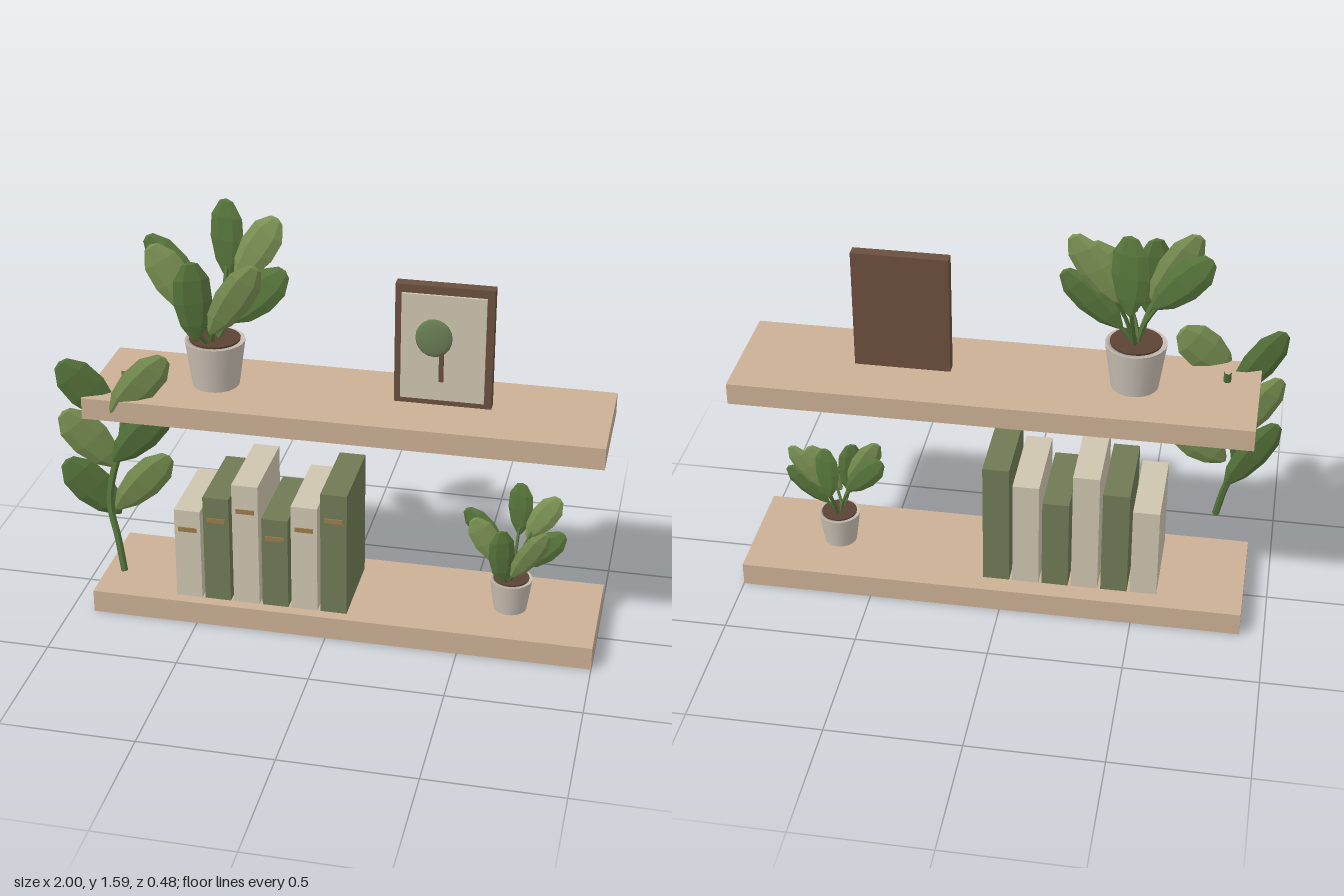
import * as THREE from 'three';

const mat = (color, flatShading = false) => new THREE.MeshStandardMaterial({ color, flatShading });
const WOOD = mat(0xcbb094), CREAM = mat(0xcec5b0), SAGE = mat(0x6f7a55), GOLD = mat(0x9a7c4a);
const BROWN = mat(0x6b4f3e), SOIL = mat(0x5c4334), CLAY = mat(0xc9c0b3);
const DARK = mat(0x58763c, true), LIGHT = mat(0x7c9354, true), STEM = mat(0x55733c, true), CROWN = mat(0x6a7f55);
const V = (a) => new THREE.Vector3(...a);

function add(parent, name, geometry, material, x = 0, y = 0, z = 0) {
  const mesh = new THREE.Mesh(geometry, material);
  mesh.name = name;
  mesh.position.set(x, y, z);
  parent.add(mesh);
  return mesh;
}
const box = (parent, name, material, w, h, d, x, y, z) =>
  add(parent, name, new THREE.BoxGeometry(w, h, d), material, x, y, z);

// Faceted leaf of unit length, base at the origin, growing along y
const leafShape = new THREE.LatheGeometry(
  [[0, 0], [0.22, 0.04], [0.72, 0.22], [1, 0.5], [0.92, 0.78], [0.4, 0.97], [0, 1]].map(([r, y]) => new THREE.Vector2(r, y)),
  6, Math.PI / 2);

// Leaf from base to tip; slope is how far its width leans in z per unit of x
function leaf(parent, base, tip, slope, width, material) {
  const from = V(base), axis = V(tip).sub(from), length = axis.length();
  axis.normalize();
  const across = new THREE.Vector3(1, 0, slope);
  if (Math.abs(axis.x) > 0.8) across.set(0, 1, 0);
  across.addScaledVector(axis, -across.dot(axis)).normalize();
  const normal = new THREE.Vector3().crossVectors(across, axis);
  const mesh = add(parent, 'leaf', leafShape, material);
  mesh.quaternion.setFromRotationMatrix(new THREE.Matrix4().makeBasis(across, axis, normal));
  mesh.position.copy(from);
  mesh.scale.set(width / 2, length, width * 0.14);
}

const tube = (parent, name, points, radius, segments) => add(parent, name,
  new THREE.TubeGeometry(new THREE.CatmullRomCurve3(points.map(V)), segments, radius, 6), STEM);

// Potted plant, origin at the centre of the pot's foot
function pottedPlant(name) {
  const plant = new THREE.Group();
  plant.name = name;
  const profile = [[0, 0], [0.087, 0], [0.087, 0], [0.112, 0.178], [0.112, 0.178], [0.094, 0.178], [0.09, 0.15]];
  add(plant, 'pot', new THREE.LatheGeometry(profile.map(([r, y]) => new THREE.Vector2(r, y)), 24), CLAY);
  add(plant, 'soil', new THREE.CylinderGeometry(0.095, 0.09, 0.03, 20), SOIL, 0, 0.17, 0);
  // base, tip, lean, material
  const leaves = [
    [[0.015, 0.36, -0.14], [0.02, 0.675, -0.135], 0.28, DARK],
    [[0.06, 0.38, -0.085], [0.225, 0.635, -0.08], 0.2, LIGHT],
    [[-0.05, 0.33, -0.02], [-0.255, 0.55, -0.03], 0.12, DARK],
    [[0.05, 0.24, -0.02], [0.265, 0.46, -0.02], 0.12, DARK],
    [[-0.04, 0.3, 0.085], [-0.2, 0.57, 0.105], -0.25, LIGHT],
    [[-0.035, 0.215, 0.125], [-0.045, 0.53, 0.135], -0.42, DARK],
    [[0.01, 0.24, 0.105], [0.185, 0.515, 0.095], -0.28, LIGHT],
  ];
  for (const [base, tip, lean, material] of leaves) {
    const [x, y, z] = base;
    const end = V(base).lerp(V(tip), 0.2).toArray();
    tube(plant, 'leafStalk', [[x * 0.1, 0.16, z * 0.1], [x * 0.5, 0.16 + (y - 0.16) * 0.55, z * 0.5], end], 0.008, 6);
    leaf(plant, base, tip, lean, 0.14, material);
  }
  return plant;
}

export function createModel() {
  const model = new THREE.Group();
  model.name = 'shelfDisplay';

  // Shelves
  box(model, 'lowerShelf', WOOD, 1.91, 0.09, 0.46, 0.045, 0.045, -0.01);
  box(model, 'upperShelf', WOOD, 1.91, 0.083, 0.46, 0.045, 0.869, -0.01);

  // Row of books with spine labels
  const books = new THREE.Group();
  books.name = 'books';
  model.add(books);
  for (let i = 0; i < 6; i++) {
    const h = 0.37 + 0.065 * (i % 3), x = -0.538 + i * 0.1123;
    box(books, 'book', i % 2 ? SAGE : CREAM, 0.1, h, 0.342, x, 0.09 + h / 2, 0.005);
    box(books, 'spineLabel', GOLD, 0.07, 0.018, 0.006, x, 0.09 + h * 0.785, 0.177);
  }

  // Framed picture of a tree
  const picture = new THREE.Group();
  picture.name = 'picture';
  model.add(picture);
  box(picture, 'frame', BROWN, 0.356, 0.46, 0.045, 0.39, 1.147, -0.012);
  box(picture, 'picturePanel', CREAM, 0.305, 0.405, 0.01, 0.39, 1.147, 0.024);
  box(picture, 'treeTrunk', BROWN, 0.017, 0.13, 0.008, 0.386, 1.085, 0.032);
  add(picture, 'treeCrown', new THREE.SphereGeometry(1, 16, 10), CROWN, 0.357, 1.187, 0.03).scale.set(0.067, 0.073, 0.012);

  // Potted plants
  const large = pottedPlant('largePlant');
  large.position.set(-0.46, 0.914, -0.006);
  const small = pottedPlant('smallPlant');
  small.position.set(0.667, 0.09, -0.006);
  small.scale.setScalar(0.715);
  model.add(large, small);

  // Trailing vine with pairs of leaves
  const vine = new THREE.Group();
  vine.name = 'trailingVine';
  model.add(vine);
  tube(vine, 'vineStem', [[-0.79, 0.96, 0.06], [-0.79, 0.75, 0.12], [-0.835, 0.48, 0.18], [-0.8, 0.33, 0.21], [-0.775, 0.205, 0.23]], 0.014, 20);
  for (let i = 0; i < 3; i++) {
    const y = i * 0.2;
    leaf(vine, [-0.805, 0.4 + y, 0.145], [-0.985, 0.65 + y, 0.22], -0.45, 0.15, i % 2 ? LIGHT : DARK);
    leaf(vine, [-0.8, 0.46 + y, 0.22], [-0.605, 0.67 + y, 0.145], -0.45, 0.15, i % 2 ? DARK : LIGHT);
  }
  return model;
}
